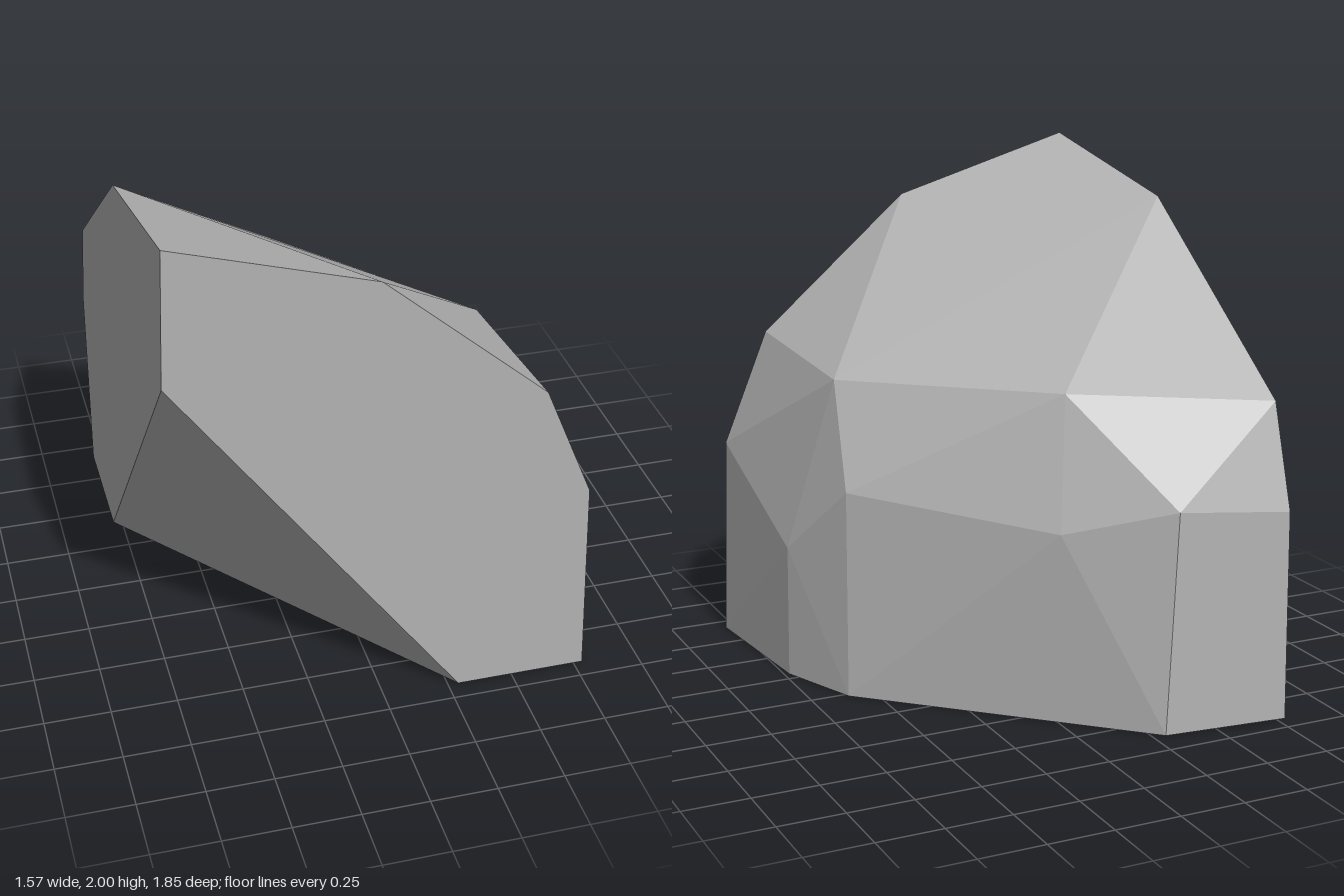
import * as THREE from 'three';
import { ConvexGeometry } from 'three/addons/geometries/ConvexGeometry.js';

export function createModel() {
  const group = new THREE.Group();
  group.name = 'cornerRock';
  const stone = new THREE.MeshStandardMaterial({ color: 0xb2b2b2, flatShading: true });
  stone.name = 'grey stone';

  // Flat front cut at z = 0.92: x, y
  const front = [[-0.77, 2], [-0.035, 1.78], [0.575, 1.25], [0.76, 0.8], [0.785, 0], [0.29, 0], [-0.787, 1.48]]
    .map(([x, y]) => [x, y, 0.925]);
  // Flat side cut at x = -0.785: y, z
  const side = [[1.83, 0.1], [1.19, -0.79], [0.8, -0.91], [0, -0.925], [0, -0.42]]
    .map(([y, z]) => [-0.785, y, z]);
  // Rounded outer corners above the ground
  const shoulder = [
    [-0.08, 1.22, -0.48], [0.55, 1.19, 0.22], [0.59, 0.8, 0.01],
    [0, 0.73, -0.61], [-0.345, 0.84, -0.87], [0.725, 0.52, 0.3],
  ];
  // Outer footprint on the ground
  const foot = [[0.73, 0, 0.3], [0.605, 0, -0.02], [-0.3, 0, -0.88]];

  const points = [...front, ...side, ...shoulder, ...foot].map((p) => new THREE.Vector3(...p));
  const rock = new THREE.Mesh(new ConvexGeometry(points), stone);
  rock.name = 'rock';
  group.add(rock);
  return group;
}
